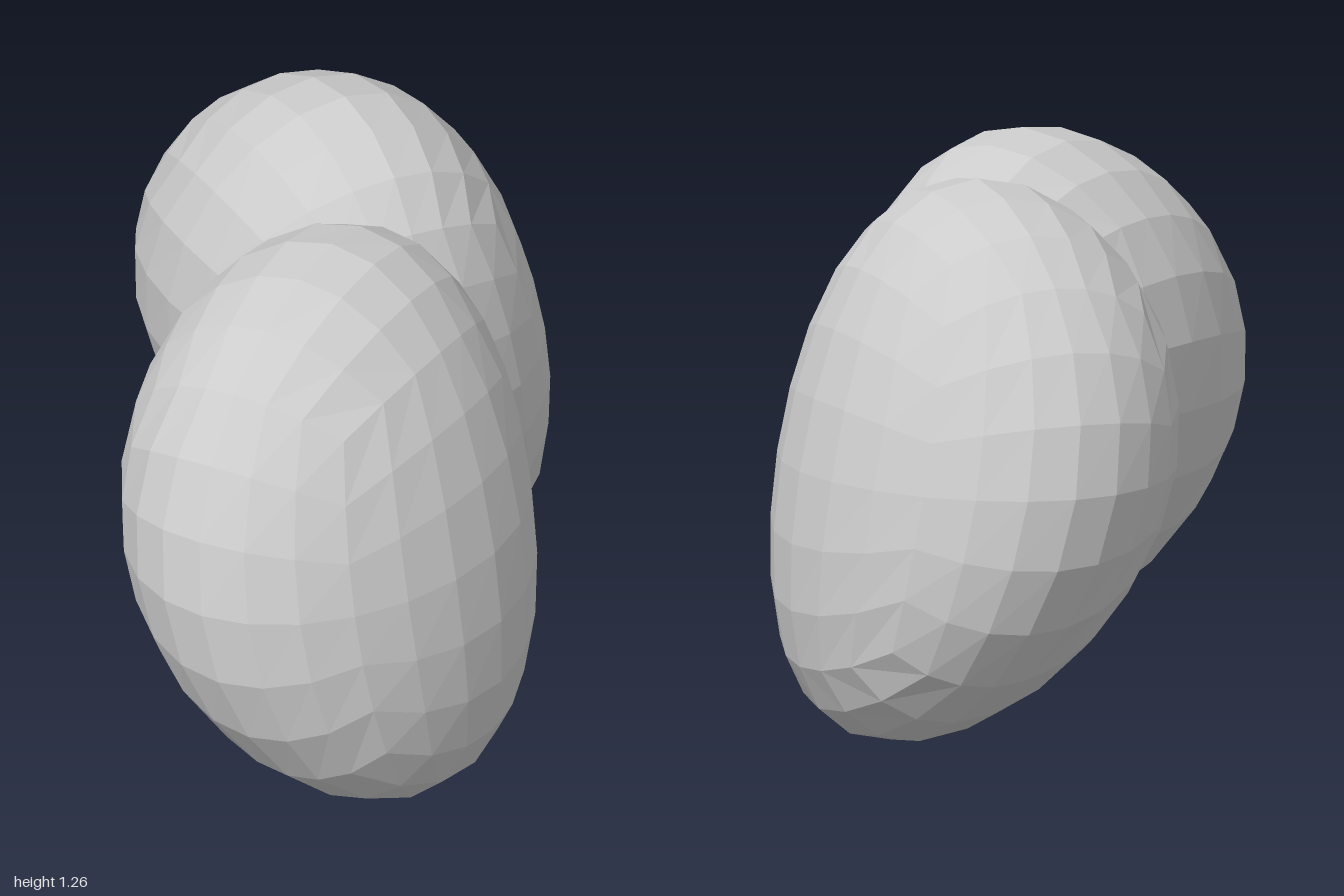
import * as THREE from 'three';

// Egg-like lobe made from a rounded cube grid. Each horizontal section is a
// skewed ellipse whose centre drifts with height.
// side = 1 for the front lobe, -1 for its mirror image behind.
function lobeGeometry(side) {
  const geo = new THREE.BoxGeometry(2, 2, 2, 6, 6, 6);
  const pos = geo.attributes.position;
  const v = new THREE.Vector3();
  const up = new THREE.Vector3(0, 1, 0);
  const even = (t) => Math.tan((t * Math.PI) / 4);
  const c = Math.cos(0.1);
  const s = Math.sin(0.1);

  for (let i = 0; i < pos.count; i++) {
    // Point on a unit sphere, with the grid turned about the upright axis
    v.fromBufferAttribute(pos, i);
    v.set(even(v.x), even(v.y), even(v.z) * side).normalize();
    v.applyAxisAngle(up, -0.5);

    // Skewed section, placed on the curved centre line
    const t = v.y;
    const u = c * v.x - s * v.z;
    const w = c * v.z - s * v.x;
    const x = -0.009 - 0.085 * t + 0.095 * t * t + 0.467 * u - 0.025 * w * w;
    const y = 0.63 + 0.63 * t;
    const z = 0.44 - 0.115 * t + 0.01 * t * t + (0.541 - 0.03 * t) * w;
    pos.setXYZ(i, x, y, z * side);
  }
  geo.computeVertexNormals();
  return geo;
}

export function createModel() {
  const model = new THREE.Group();
  model.name = 'pairedLobes';
  const material = new THREE.MeshStandardMaterial({ color: 0xcccccc, flatShading: true });

  // The two lobes press into each other at the middle
  for (const side of [1, -1]) {
    const lobe = new THREE.Mesh(lobeGeometry(side), material);
    lobe.name = side > 0 ? 'frontLobe' : 'backLobe';
    lobe.position.x = -0.013 * side;
    model.add(lobe);
  }
  return model;
}
